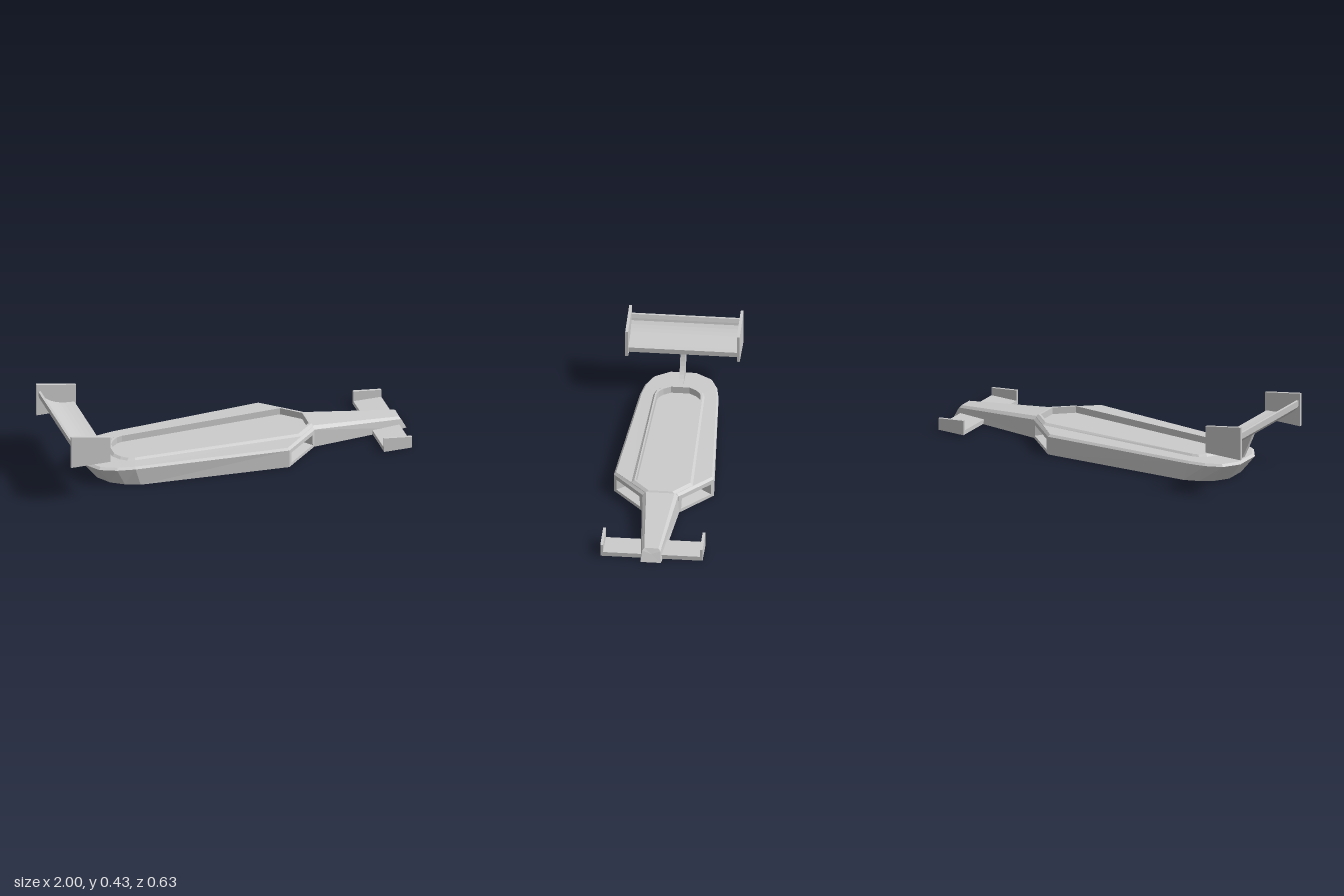
import * as THREE from 'three';

const material = new THREE.MeshStandardMaterial({ color: 0xcccccc, flatShading: true });

// Skin a list of equal-length rings of [x, y, z]; rings run counter-clockwise seen along the travel.
function loft(rings, { capStart = false, capEnd = false, skip = () => false } = {}) {
  const out = [];
  const n = rings[0].length;
  for (let i = 0; i < rings.length - 1; i++) {
    for (let j = 0; j < n; j++) {
      if (skip(i, j)) continue;
      const k = (j + 1) % n;
      const [a, b, c, d] = [rings[i][j], rings[i][k], rings[i + 1][k], rings[i + 1][j]];
      out.push(...a, ...b, ...c, ...a, ...c, ...d);
    }
  }
  const cap = (ring) => {
    const mid = [0, 1, 2].map((q) => ring.reduce((s, p) => s + p[q], 0) / n);
    ring.forEach((p, j) => out.push(...mid, ...p, ...ring[(j + 1) % n]));
  };
  if (capStart) cap([...rings[0]].reverse());
  if (capEnd) cap(rings[rings.length - 1]);
  const geometry = new THREE.BufferGeometry();
  geometry.setAttribute('position', new THREE.Float32BufferAttribute(out, 3));
  geometry.computeVertexNormals();
  return geometry;
}

// Side profile in x, y extruded across z, centred on the given z.
function plate(shape, width, z = 0) {
  return new THREE.ExtrudeGeometry(shape, { depth: width, bevelEnabled: false, curveSegments: 8 })
    .translate(0, 0, z - width / 2);
}

const polygon = (points) => new THREE.Shape(points.map(([x, y]) => new THREE.Vector2(x, y)));

export function createModel() {
  const model = new THREE.Group();
  const add = (name, geometry) => {
    const mesh = new THREE.Mesh(geometry, material);
    mesh.name = name;
    model.add(mesh);
  };

  // Body: horizontal outlines from the undercut floor, over the deck and rim, into the cockpit
  const outline = (y, half) => [
    ...half.map(([x, z]) => [x, y, z]),
    ...[...half].reverse().map(([x, z]) => [x, y, -z]),
  ];
  const P = [0.26, 0.274];
  const Q = [0.46, 0.1];
  const bodyRings = [
    outline(0, [[-0.77, 0.06], [-0.72, 0.135], [-0.65, 0.18], [-0.57, 0.21], P, Q]),
    outline(0.103, [[-0.85, 0.075], [-0.79, 0.16], [-0.7, 0.198], [-0.6, 0.215], P, Q]),
    outline(0.115, [[-0.835, 0.07], [-0.78, 0.15], [-0.695, 0.187], [-0.6, 0.204], [0.255, 0.262], [0.452, 0.088]]),
    outline(0.117, [[-0.685, 0.06], [-0.655, 0.105], [-0.62, 0.13], [-0.58, 0.14], [0.36, 0.168], [0.462, 0.078]]),
    outline(0.128, [[-0.67, 0.055], [-0.645, 0.095], [-0.61, 0.122], [-0.575, 0.13], [0.35, 0.153], [0.452, 0.065]]),
    outline(0.128, [[-0.655, 0.05], [-0.63, 0.088], [-0.6, 0.112], [-0.57, 0.12], [0.342, 0.145], [0.44, 0.058]]),
    outline(0.09, [[-0.655, 0.05], [-0.63, 0.088], [-0.6, 0.112], [-0.57, 0.12], [0.342, 0.145], [0.44, 0.058]]),
  ];
  add('body', loft(bodyRings, {
    capStart: true, capEnd: true,
    skip: (i, j) => i === 0 && (j === 4 || j === 6), // left open for the intakes
  }));

  // Side intakes: frame, tapering duct and back wall on each slanted face
  const onFace = (u, y, depth) => [
    P[0] + (Q[0] - P[0]) * u - 0.656 * depth, y,
    P[1] + (Q[1] - P[1]) * u - 0.754 * depth,
  ];
  const opening = (u0, u1, y0, y1, depth) => [
    onFace(u0, y0, depth), onFace(u1, y0, depth), onFace(u1 - (1 - u1) * 0.3, y1, depth), onFace(u0, y1, depth),
  ];
  const intakeRings = [
    opening(0, 1, 0, 0.103, 0),
    opening(0.09, 0.93, 0.018, 0.08, 0),
    opening(0.12, 0.9, 0.024, 0.075, 0.09),
  ];
  const mirror = (ring) => [...ring].reverse().map(([x, y, z]) => [x, y, -z]);
  add('leftIntake', loft(intakeRings, { capEnd: true }));
  add('rightIntake', loft(intakeRings.map(mirror), { capEnd: true }));

  // Nose: chamfered six-sided section narrowing to a raked tip
  const section = (bottom, side, top) => [[1, bottom], [-1, bottom], [-1, side], [-1, top], [1, top], [1, side]]
    .map(([s, [x, y, z]]) => [x, y, s * z]);
  add('nose', loft([
    section([0.45, 0, 0.103], [0.45, 0.104, 0.097], [0.45, 0.121, 0.078]),
    section([1, 0, 0.056], [0.972, 0.055, 0.05], [0.962, 0.068, 0.039]),
  ], { capStart: true, capEnd: true }));

  // Front wing with a low end plate on each side
  add('frontWing', new THREE.BoxGeometry(0.16, 0.024, 0.54).translate(0.88, 0.015, 0));
  const frontPlate = polygon([[0.8, 0.003], [0.96, 0.003], [0.96, 0.07], [0.8, 0.087]]);
  add('leftFrontEndPlate', plate(frontPlate, 0.015, 0.272));
  add('rightFrontEndPlate', plate(frontPlate, 0.015, -0.272));

  // Rear wing: scooped aerofoil with a kicked-up trailing lip
  const foil = new THREE.Shape();
  foil.moveTo(-0.785, 0.258);
  foil.lineTo(-0.785, 0.285);
  foil.quadraticCurveTo(-0.91, 0.285, -0.967, 0.35);
  foil.lineTo(-0.97, 0.362);
  foil.lineTo(-0.978, 0.383);
  foil.lineTo(-0.992, 0.383);
  foil.lineTo(-0.988, 0.345);
  foil.quadraticCurveTo(-0.92, 0.258, -0.785, 0.258);
  add('rearWing', plate(foil, 0.6));
  const rearPlate = polygon([[-1, 0.235], [-0.775, 0.235], [-0.775, 0.388], [-1, 0.425]]);
  add('leftRearEndPlate', plate(rearPlate, 0.016, 0.305));
  add('rightRearEndPlate', plate(rearPlate, 0.016, -0.305));

  // Swept pylon carrying the rear wing
  const pylon = new THREE.Shape();
  pylon.moveTo(-0.82, 0.11);
  pylon.lineTo(-0.68, 0.11);
  pylon.lineTo(-0.68, 0.117);
  pylon.quadraticCurveTo(-0.775, 0.155, -0.8, 0.265);
  pylon.lineTo(-0.89, 0.268);
  pylon.quadraticCurveTo(-0.86, 0.19, -0.82, 0.11);
  add('wingPylon', plate(pylon, 0.027));

  return model;
}
